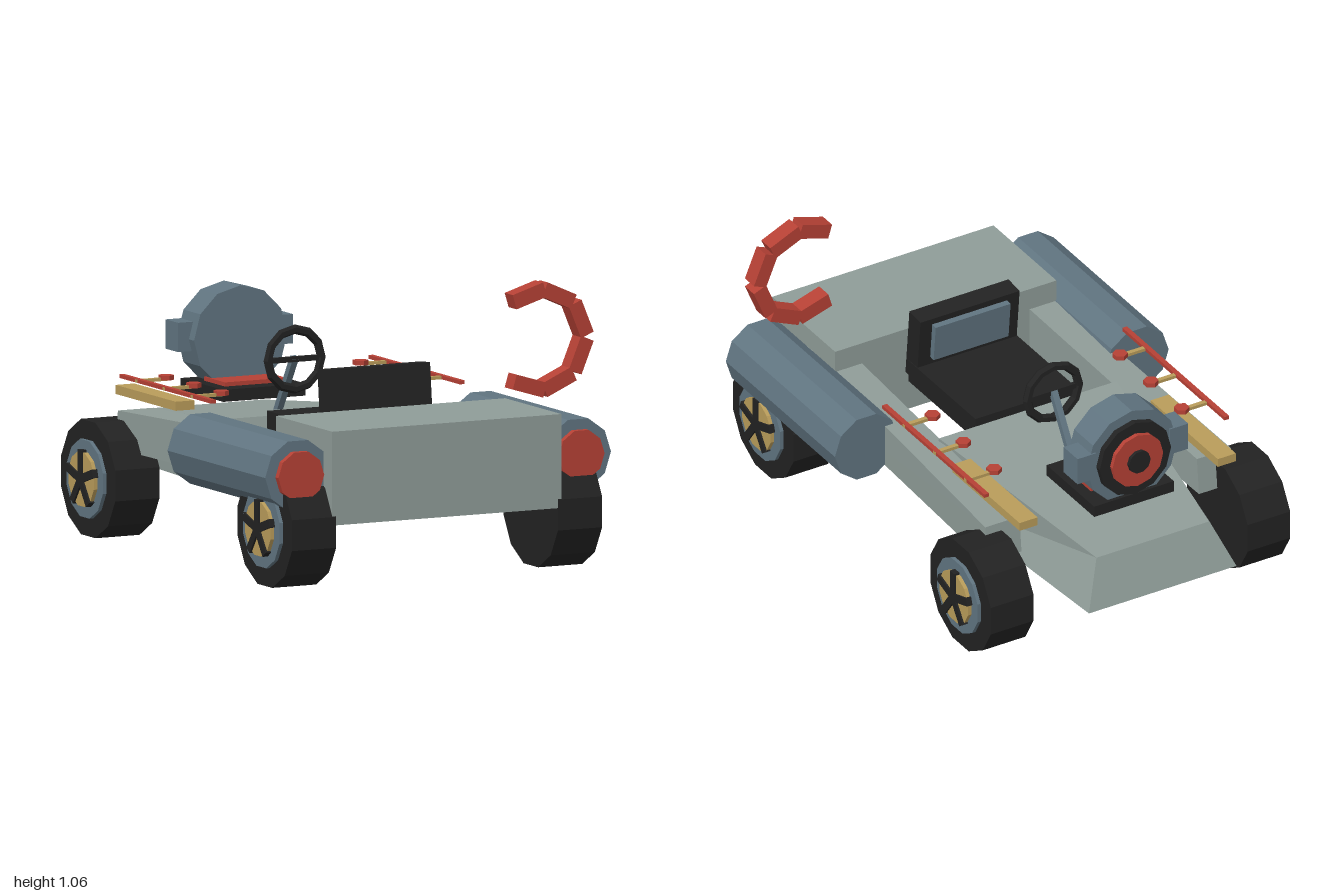
import * as THREE from 'three';

const paint = (name, color) => {
  const m = new THREE.MeshStandardMaterial({ color });
  m.name = name;
  m.flatShading = true;
  return m;
};

export function createModel() {
  const model = new THREE.Group();
  model.name = 'buggy';
  const green = paint('greyGreen', 0x8f9c98);
  const slate = paint('slateBlue', 0x607480);
  const black = paint('black', 0x222222);
  const red = paint('red', 0xb64135);
  const tan = paint('tan', 0xb99c5a);

  const add = (parent, name, geometry, material, x = 0, y = 0, z = 0) => {
    const mesh = new THREE.Mesh(geometry, material);
    mesh.name = name;
    mesh.position.set(x, y, z);
    parent.add(mesh);
    return mesh;
  };
  const box = (w, h, d) => new THREE.BoxGeometry(w, h, d);
  // Prism along x (flat facet at the bottom) or along z
  const discX = (r, len, n) => new THREE.CylinderGeometry(r, r, len, n).rotateZ(-Math.PI / 2).rotateX(Math.PI / n);
  const discZ = (r, len, n) => new THREE.CylinderGeometry(r, r, len, n).rotateX(Math.PI / 2).rotateZ(Math.PI / 2);

  // Six-sided block from bottom and top corners, each counter-clockwise from above
  const block = (bottom, top) => {
    const quads = [[...top], [...bottom].reverse()];
    for (let i = 0; i < 4; i++) {
      const j = (i + 1) % 4;
      quads.push([bottom[i], bottom[j], top[j], top[i]]);
    }
    const points = quads.flatMap(([a, b, c, d]) => [a, b, c, a, c, d]).flat();
    const g = new THREE.BufferGeometry();
    g.setAttribute('position', new THREE.Float32BufferAttribute(points, 3));
    g.computeVertexNormals();
    return g;
  };
  // Four corners of a level symmetric about x = 0
  const level = (x1, y1, z1, x2, y2, z2) => [[x1, y1, z1], [x2, y2, z2], [-x2, y2, z2], [-x1, y1, z1]];

  // Body
  add(model, 'hull', block(
    level(0.39, 0.23, 0.04, 0.32, 0.23, -1).toSpliced(0, 0),
    level(0.385, 0.5, -0.035, 0.245, 0.412, -0.93)), green);
  add(model, 'bodyBlock', box(0.96, 0.352, 0.45), green, 0, 0.42, 0.775);
  for (const s of [1, -1]) {
    const ring = (yBack, yNose, zNose) => {
      const c = [[0.485, yBack, 0.75], [0.533, yNose, zNose], [0.385, yNose, zNose], [0.36, yBack, 0.75]]
        .map(([x, y, z]) => [x * s, y, z]);
      return s > 0 ? c : c.reverse();
    };
    add(model, 'sidePod', block(ring(0.322, 0.322, -0.625), ring(0.515, 0.467, -0.61)), green);
  }

  // Wheels
  const wheel = () => {
    const g = new THREE.Group();
    g.name = 'wheel';
    add(g, 'tire', discX(0.224, 0.185, 12), black, 0.557);
    add(g, 'rim', discX(0.15, 0.03, 12), slate, 0.649);
    add(g, 'hub', discX(0.105, 0.03, 12), tan, 0.664);
    for (let i = 0; i < 5; i++) {
      const a = i * Math.PI * 2 / 5;
      add(g, 'spoke', box(0.025, 0.11, 0.032).translate(0, 0.055, 0).rotateX(a), black, 0.674);
    }
    return g;
  };
  for (const z of [0.785, -0.625]) {
    for (const s of [1, -1]) {
      const w = wheel();
      w.position.set(0, 0.218, z);
      w.rotation.y = s > 0 ? 0 : Math.PI;
      model.add(w);
    }
  }

  // Side tanks, planks and railings
  for (const s of [1, -1]) {
    add(model, 'sideTank', discZ(0.137, 0.78, 10), slate, 0.587 * s, 0.43, 0.54);
    add(model, 'tankCap', discZ(0.096, 0.025, 10), red, 0.587 * s, 0.43, 0.945);
    add(model, 'plank', box(0.078, 0.034, 0.48), tan, 0.43 * s, 0.523, -0.51);
    add(model, 'rail', box(0.02, 0.014, 0.73), red, 0.521 * s, 0.597, -0.235);
    for (const z of [-0.465, -0.245, -0.025]) {
      add(model, 'rung', box(0.13, 0.012, 0.018), tan, 0.467 * s, 0.596, z);
      add(model, 'knob', new THREE.CylinderGeometry(0.029, 0.029, 0.018, 6), red, 0.407 * s, 0.602, z);
    }
  }

  // Curved hook made of short blocks
  const hook = new THREE.Group();
  hook.name = 'hook';
  hook.position.set(0.505, 0.845, 0.767);
  model.add(hook);
  for (const deg of [107, 66, 22.5, -22.5, -66, -107]) {
    const a = THREE.MathUtils.degToRad(deg);
    add(hook, 'hookSegment', box(0.057, 0.133, 0.065), red, 0.177 * Math.cos(a), 0.177 * Math.sin(a)).rotation.z = a;
  }

  // Seat
  add(model, 'seatBase', box(0.435, 0.09, 0.48), black, 0, 0.477, 0.22);
  const back = new THREE.Group();
  back.name = 'seatBack';
  back.position.set(0, 0.45, 0.445);
  back.rotation.x = -0.1;
  model.add(back);
  add(back, 'backrest', box(0.43, 0.28, 0.08), black, 0, 0.145, 0);
  add(back, 'backCushion', box(0.325, 0.15, 0.03), slate, 0, 0.185, -0.05);

  // Steering wheel and column
  add(model, 'steeringWheel', new THREE.TorusGeometry(0.112, 0.018, 6, 12), black, 0, 0.675, -0.215);
  add(model, 'steeringSpoke', box(0.21, 0.02, 0.016), black, 0, 0.675, -0.215);
  add(model, 'steeringColumn', box(0.025, 0.26, 0.025), slate, 0, 0.57, -0.285).rotation.x = 0.55;

  // Drum lamp on its stand
  add(model, 'standBase', box(0.345, 0.045, 0.34), black, 0, 0.517, -0.625);
  add(model, 'standPad', box(0.255, 0.02, 0.17), red, 0, 0.545, -0.612);
  add(model, 'drum', discZ(0.195, 0.135, 12).rotateZ(Math.PI / 2), slate, 0, 0.7, -0.713);
  for (const s of [1, -1]) add(model, 'drumEar', box(0.08, 0.11, 0.1), slate, 0.2 * s, 0.71, -0.737);
  add(model, 'drumRing', discZ(0.155, 0.03, 12), black, 0, 0.7, -0.79);
  add(model, 'drumFace', discZ(0.11, 0.03, 12), red, 0, 0.7, -0.808);
  add(model, 'drumCore', discZ(0.047, 0.03, 10), black, 0, 0.7, -0.822);

  return model;
}
